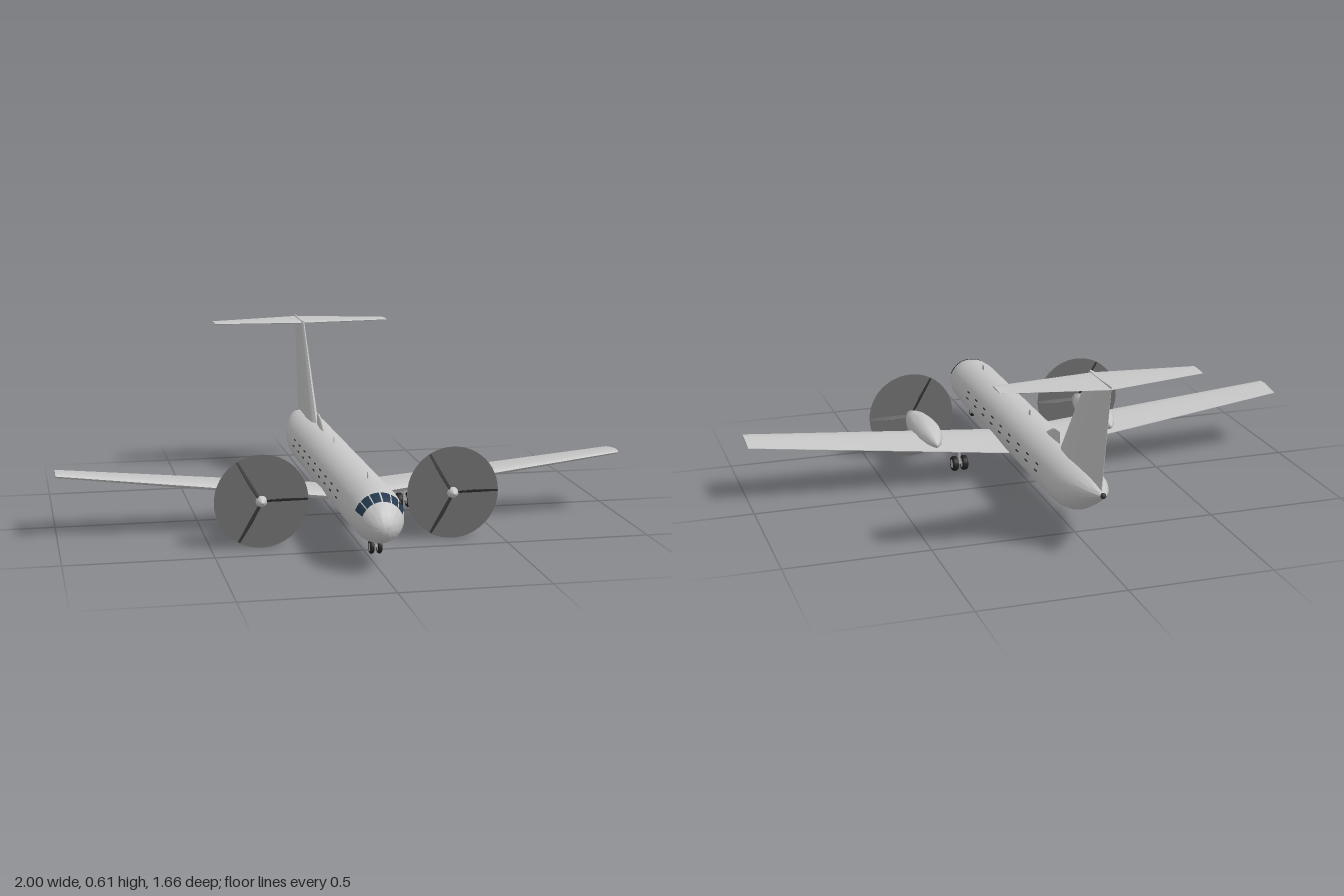
import * as THREE from 'three';
import { toCreasedNormals } from 'three/addons/utils/BufferGeometryUtils.js';

const mat = (name, color, side = THREE.FrontSide) => {
  const m = new THREE.MeshStandardMaterial({ color, side });
  m.name = name;
  return m;
};
const V = (x, y, z) => new THREE.Vector3(x, y, z);

// Skin through a row of closed rings, capped at both ends and facing outwards
function loft(rings, crease = 0.7) {
  const n = rings[0].length, pts = rings.flat(), idx = [];
  for (let i = 0; i < rings.length - 1; i++) {
    for (let j = 0; j < n; j++) {
      const a = i * n + j, b = i * n + (j + 1) % n;
      idx.push(a, b, b + n, a, b + n, a + n);
    }
  }
  const last = (rings.length - 1) * n;
  for (let j = 1; j < n - 1; j++) {
    idx.push(0, j + 1, j, last, last + j, last + j + 1);
  }
  let volume = 0;
  for (let i = 0; i < idx.length; i += 3) {
    volume += pts[idx[i]].dot(pts[idx[i + 1]].clone().cross(pts[idx[i + 2]]));
  }
  if (volume < 0) idx.reverse();
  const g = new THREE.BufferGeometry().setFromPoints(pts);
  g.setIndex(idx);
  return toCreasedNormals(g, crease);
}

// Round body from stations [z, centre y, half width, half height]
const body = (stations, sides = 36) => loft(stations.map(([z, cy, w, h]) =>
  Array.from({ length: sides }, (_, j) => {
    const a = j / sides * Math.PI * 2;
    return V(Math.sin(a) * w, cy + Math.cos(a) * h, z);
  })));

// Wing-like body from sections [leading point, trailing point, half thickness vector]
const PROFILE = [[0, 0], [0.02, 0.4], [0.08, 0.75], [0.3, 1], [0.6, 0.7], [1, 0.06],
  [1, -0.06], [0.6, -0.7], [0.3, -1], [0.08, -0.75], [0.02, -0.4]];
const foil = (sections) => loft(sections.map(([lead, trail, thick]) =>
  PROFILE.map(([t, s]) => lead.clone().lerp(trail, t).addScaledVector(thick, s))));

const FUSELAGE = [
  [0.834, 0.158, 0.004, 0.004], [0.828, 0.158, 0.022, 0.022], [0.815, 0.16, 0.041, 0.041],
  [0.79, 0.164, 0.062, 0.062], [0.76, 0.168, 0.076, 0.076], [0.72, 0.171, 0.085, 0.085],
  [0.66, 0.173, 0.089, 0.089], [-0.45, 0.173, 0.089, 0.089], [-0.5, 0.176, 0.088, 0.087],
  [-0.56, 0.183, 0.083, 0.079], [-0.63, 0.2, 0.068, 0.059], [-0.7, 0.217, 0.044, 0.034],
  [-0.75, 0.227, 0.02, 0.014], [-0.766, 0.229, 0.01, 0.008]];
const NACELLE = [
  [0.395, 0.157, 0.02, 0.022], [0.37, 0.158, 0.03, 0.032], [0.32, 0.16, 0.041, 0.042],
  [0.25, 0.163, 0.048, 0.048], [0.18, 0.164, 0.05, 0.05], [0.12, 0.165, 0.043, 0.044],
  [0.07, 0.166, 0.026, 0.028], [0.03, 0.166, 0.004, 0.004]];

// Point just outside the fuselage skin at z and an angle from the top
function skinPoint(z, angle, lift = 0.0025) {
  const i = FUSELAGE.findIndex((s) => s[0] <= z);
  const a = FUSELAGE[i - 1], b = FUSELAGE[i], t = (z - a[0]) / (b[0] - a[0]);
  const [cy, w, h] = [1, 2, 3].map((k) => a[k] + (b[k] - a[k]) * t);
  return V(Math.sin(angle) * (w + lift), cy + Math.cos(angle) * (h + lift), z);
}

// Curved pane lying on the nose
function pane(a0, a1, z0, z1) {
  const g = new THREE.PlaneGeometry(1, 1, 4, 4), p = g.attributes.position;
  for (let i = 0; i < p.count; i++) {
    const q = skinPoint(z0 + (p.getY(i) + 0.5) * (z1 - z0), a0 + (p.getX(i) + 0.5) * (a1 - a0));
    p.setXYZ(i, q.x, q.y, q.z);
  }
  g.computeVertexNormals();
  return g;
}

export function createModel() {
  const model = new THREE.Group();
  model.name = 'airplane';
  const paint = mat('paintGrey', 0xc6c6c6);
  const glass = mat('glassBlue', 0x24384c, THREE.DoubleSide);
  const dark = mat('darkGrey', 0x343434);
  const disc = mat('discGrey', 0x6a6a6a, THREE.DoubleSide);
  const tyre = mat('tyreBlack', 0x222222);
  const metal = mat('metalGrey', 0xb0b0b0);

  const add = (name, geometry, material, parent = model, x = 0, y = 0, z = 0) => {
    const m = new THREE.Mesh(geometry, material);
    m.name = name;
    m.position.set(x, y, z);
    parent.add(m);
    return m;
  };

  add('fuselage', body(FUSELAGE), paint);
  add('tailLight', new THREE.SphereGeometry(0.01, 12, 8), dark, model, 0, 0.229, -0.766);

  // Wing with dihedral, in one piece through the fuselage
  add('wing', foil([-1, 0, 1].map((s) => s
    ? [V(s, 0.226, 0.19), V(s, 0.22, 0.06), V(0, 0.009, 0)]
    : [V(0, 0.118, 0.24), V(0, 0.112, -0.005), V(0, 0.02, 0)])), paint);

  // Tail surfaces
  add('fin', foil([
    [V(0, 0.23, -0.34), V(0, 0.23, -0.748), V(0.019, 0, 0)],
    [V(0, 0.613, -0.633), V(0, 0.613, -0.826), V(0.007, 0, 0)]]), paint);
  add('tailplane', foil([-0.34, 0, 0.34].map((x) => x
    ? [V(x, 0.604, -0.675), V(x, 0.604, -0.755), V(0, 0.003, 0)]
    : [V(0, 0.605, -0.64), V(0, 0.605, -0.83), V(0, 0.006, 0)])), paint);
  add('dorsalFin', foil([
    [V(0, 0.255, -0.19), V(0, 0.255, -0.345), V(0.006, 0, 0)],
    [V(0, 0.296, -0.27), V(0, 0.296, -0.345), V(0.004, 0, 0)],
    [V(0, 0.305, -0.305), V(0, 0.305, -0.345), V(0.003, 0, 0)]]), paint);

  // Small blade antennas above and below
  for (const [z, y0, y1] of [[0.575, 0.255, 0.281], [0, 0.255, 0.281], [0.31, 0.09, 0.067]]) {
    add('antenna', foil([
      [V(0, y0, z), V(0, y0, z - 0.024), V(0.003, 0, 0)],
      [V(0, y1, z - 0.012), V(0, y1, z - 0.026), V(0.002, 0, 0)]]), paint);
  }

  // Cockpit panes and the cabin window edges
  const deg = Math.PI / 180;
  for (const s of [-1, 1]) {
    for (const [a, b] of [[2, 23], [26, 46], [49, 70]]) {
      add('cockpitWindow', pane(s * a * deg, s * b * deg, 0.735, 0.78), glass);
    }
    for (let i = 0; i < 9; i++) {
      for (const y of [0.203, 0.18]) {
        const x = Math.sqrt(0.089 ** 2 - (y - 0.173) ** 2);
        add('cabinWindowEdge', new THREE.BoxGeometry(0.005, 0.004, 0.024), dark,
          model, s * x, y, 0.475 - i * 0.103);
      }
    }
  }

  // Engines with three-bladed propellers
  const nacelleGeo = body(NACELLE, 28);
  const spinnerGeo = new THREE.LatheGeometry([[0.021, 0], [0.019, 0.015], [0.012, 0.03], [0, 0.042]]
    .map(([r, y]) => new THREE.Vector2(r, y)), 20).rotateX(Math.PI / 2);
  const bladeGeo = foil([
    [V(0.01, 0.006, 0.006), V(0.01, -0.006, -0.006), V(0, -0.002, 0.002)],
    [V(0.08, 0.009, 0.006), V(0.08, -0.009, -0.006), V(0, -0.001, 0.002)],
    [V(0.158, 0.006, 0.003), V(0.158, -0.006, -0.003), V(0, -0.0005, 0.001)]]);
  for (const s of [-1, 1]) {
    const engine = new THREE.Group();
    engine.name = s > 0 ? 'leftEngine' : 'rightEngine';
    engine.position.x = s * 0.33;
    model.add(engine);
    add('nacelle', nacelleGeo, paint, engine);
    add('spinner', spinnerGeo, paint, engine, 0, 0.16, 0.394);
    add('propellerDisc', new THREE.CircleGeometry(0.16, 48), disc, engine, 0, 0.16, 0.405);
    for (let i = 0; i < 3; i++) {
      add('propellerBlade', bladeGeo, dark, engine, 0, 0.16, 0.405).rotation.z = i * Math.PI * 2 / 3;
    }
  }

  // Twin-wheel landing gear
  function gear(name, x, z, y, r, gap, width, top) {
    const g = new THREE.Group();
    g.name = name;
    g.position.set(x, y, z);
    model.add(g);
    add('strut', new THREE.CylinderGeometry(0.006, 0.006, top - y, 12), metal, g, 0, (top - y) / 2, 0);
    add('axle', new THREE.CylinderGeometry(0.004, 0.004, gap * 2, 10).rotateZ(Math.PI / 2), metal, g);
    const h = width / 2;
    const profile = [[r * 0.6, -h], [r * 0.88, -h], [r, -h * 0.5], [r, h * 0.5], [r * 0.88, h], [r * 0.6, h]];
    for (const s of [-1, 1]) {
      add('tyre', new THREE.LatheGeometry(profile.map(([a, b]) => new THREE.Vector2(a, b)), 24)
        .rotateZ(Math.PI / 2), tyre, g, s * gap);
      add('hub', new THREE.CylinderGeometry(r * 0.62, r * 0.62, width * 0.94, 20)
        .rotateZ(Math.PI / 2), metal, g, s * gap);
    }
  }
  gear('noseGear', 0, 0.676, 0.06, 0.023, 0.013, 0.013, 0.1);
  for (const s of [-1, 1]) {
    gear(s > 0 ? 'leftMainGear' : 'rightMainGear', s * 0.232, 0.1, 0.065, 0.027, 0.018, 0.02, 0.14);
  }
  return model;
}
